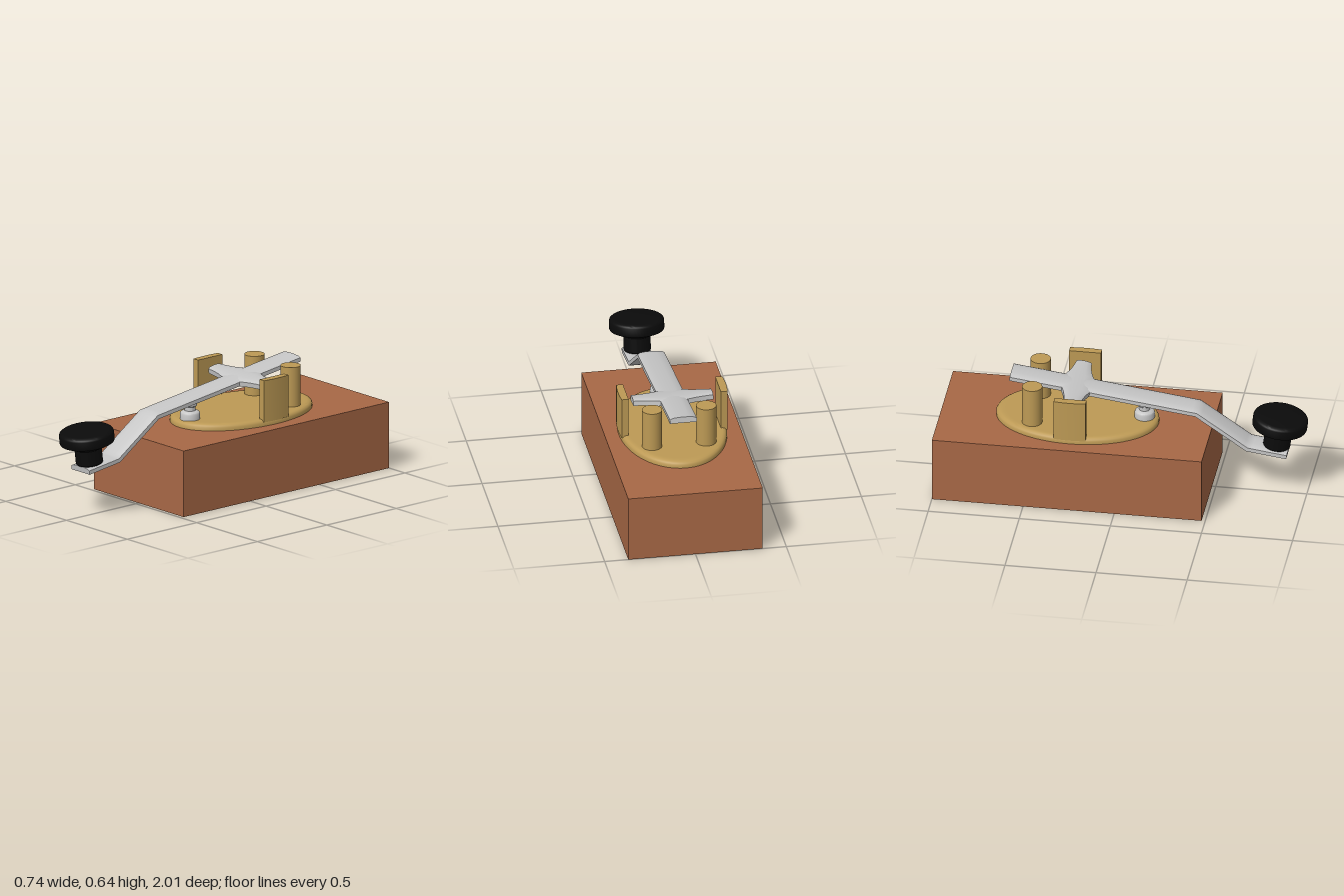
import * as THREE from 'three';
import { toCreasedNormals } from 'three/addons/utils/BufferGeometryUtils.js';

const mat = (name, color, side = THREE.FrontSide) => {
  const m = new THREE.MeshStandardMaterial({ color, side });
  m.name = name;
  return m;
};
const V = (x, y, z) => new THREE.Vector3(x, y, z);

// Domed bar lofted along stations { p: centre, t: direction, u: up, w: half width }
function loftBar(stations, thick, dome) {
  const h = thick / 2;
  const ring = [[-1, -h], [1, -h], [1, h - dome], [0.8, h - dome * 0.35], [0.4, h - dome * 0.08],
    [0, h], [-0.4, h - dome * 0.08], [-0.8, h - dome * 0.35], [-1, h - dome]];
  const n = ring.length, pos = [], idx = [];
  stations.forEach(({ p, t, u, w }, s) => {
    const side = u.clone().cross(t).normalize();
    for (const [a, b] of ring) {
      pos.push(...p.clone().addScaledVector(side, a * w).addScaledVector(u, b).toArray());
    }
    if (s === 0) return;
    for (let i = 0; i < n; i++) {
      const a = (s - 1) * n + i, b = (s - 1) * n + (i + 1) % n;
      idx.push(a, b, b + n, a, b + n, a + n);
    }
  });
  const last = (stations.length - 1) * n;
  for (let i = 1; i < n - 1; i++) {
    idx.push(0, i + 1, i, last, last + i, last + i + 1);
  }
  const g = new THREE.BufferGeometry();
  g.setAttribute('position', new THREE.Float32BufferAttribute(pos, 3));
  g.setIndex(idx);
  return toCreasedNormals(g, 0.65);
}

const lathe = (pts, seg = 48) => toCreasedNormals(
  new THREE.LatheGeometry(pts.map(([r, y]) => new THREE.Vector2(r, y)), seg), 0.6);

export function createModel() {
  const model = new THREE.Group();
  model.name = 'telegraphKey';
  const wood = mat('wood', 0xa86846);
  const brass = mat('brass', 0xbd9a55);
  const steel = mat('steel', 0xc6c6c6);
  const black = mat('blackKnob', 0x0b0b0b);

  const add = (name, geo, material, x = 0, y = 0, z = 0) => {
    const m = new THREE.Mesh(geo, material);
    m.name = name;
    m.position.set(x, y, z);
    model.add(m);
    return m;
  };

  // Wooden block
  add('base', new THREE.BoxGeometry(0.74, 0.372, 1.48), wood, 0, 0.186, -0.26);

  // Oval brass plate with a rounded rim
  const RX = 0.293, RZ = 0.445, PZ = -0.257;
  const plate = add('plate', lathe([[0, 0], [RX, 0], [RX, 0.018], [RX - 0.004, 0.027],
    [RX - 0.011, 0.034], [RX - 0.022, 0.037], [RX - 0.035, 0.037], [0, 0.037]], 72), brass, 0, 0.371, PZ);
  plate.scale.z = RZ / RX;

  // Side uprights: flat inside, outer face follows the oval
  for (const s of [1, -1]) {
    const pts = [];
    for (let i = 0; i <= 10; i++) {
      const z = -0.0875 + 0.0175 * i;
      pts.push(new THREE.Vector2(s * 0.297 * Math.sqrt(1 - (z / RZ) ** 2), -z));
    }
    pts.push(new THREE.Vector2(s * 0.254, -0.0875), new THREE.Vector2(s * 0.254, 0.0875));
    const g = new THREE.ExtrudeGeometry(new THREE.Shape(pts), { depth: 0.235, bevelEnabled: false });
    g.rotateX(-Math.PI / 2);
    add(s > 0 ? 'leftUpright' : 'rightUpright', toCreasedNormals(g, 0.5), brass, 0, 0.395, PZ);

    // Rear round post
    add(s > 0 ? 'leftPost' : 'rightPost', new THREE.CylinderGeometry(0.055, 0.055, 0.23, 40),
      brass, s * 0.149, 0.515, -0.484);
  }

  // Contact under the lever
  add('contact', lathe([[0.055, 0], [0.055, 0.032], [0.052, 0.041], [0.043, 0.048], [0.03, 0.051],
    [0.03, 0.072], [0.037, 0.078], [0.037, 0.108], [0, 0.112]], 32), steel, 0, 0.405, 0.11);

  // Bent lever, from the knob end to the back
  const path = [[0.27, 0.9], [0.299, 0.685], [0.491, 0.405], [0.625, -0.62]].map(([y, z]) => V(0, y, z));
  const dirs = path.slice(1).map((p, i) => p.clone().sub(path[i]).normalize());
  const X = V(1, 0, 0);
  const bar = [];
  path.forEach((p, i) => {
    const a = dirs[Math.max(i - 1, 0)], b = dirs[Math.min(i, dirs.length - 1)];
    // short straight stations on both sides of each bend keep the flats flat
    if (i > 0 && i < path.length - 1) {
      bar.push({ p: p.clone().addScaledVector(a, -0.025), t: a });
      bar.push({ p, t: a.clone().add(b).normalize() });
      bar.push({ p: p.clone().addScaledVector(b, 0.025), t: b });
    } else bar.push({ p, t: i ? a : b });
  });
  for (const s of bar) {
    s.w = 0.074;
    s.u = X.clone().cross(s.t).negate();
    if (s.u.y < 0) s.u.negate();
  }
  add('lever', loftBar(bar, 0.034, 0.012), steel);

  // Pivot cross arm, flaring towards the lever
  const up = bar[bar.length - 1].u;
  const flare = [[0.22, 0.043], [0.19, 0.046], [0.15, 0.053], [0.11, 0.063], [0.072, 0.078]];
  const arm = [...flare.map(([x, w]) => [-x, w]), ...flare.slice().reverse()]
    .map(([x, w]) => ({ p: V(x, 0.577, -0.258), t: X, u: up, w }));
  add('crossArm', loftBar(arm, 0.037, 0.01), steel);

  // Knob with a narrow stem
  const knob = add('knob', lathe([[0, 0], [0.07, 0], [0.074, 0.005], [0.074, 0.088], [0.148, 0.124], [0.15, 0.128],
    [0.15, 0.172], [0.147, 0.18], [0.139, 0.186], [0.125, 0.189], [0, 0.191]], 56), black, 0, 0.294, 0.834);
  knob.rotation.x = 0.133;

  return model;
}
